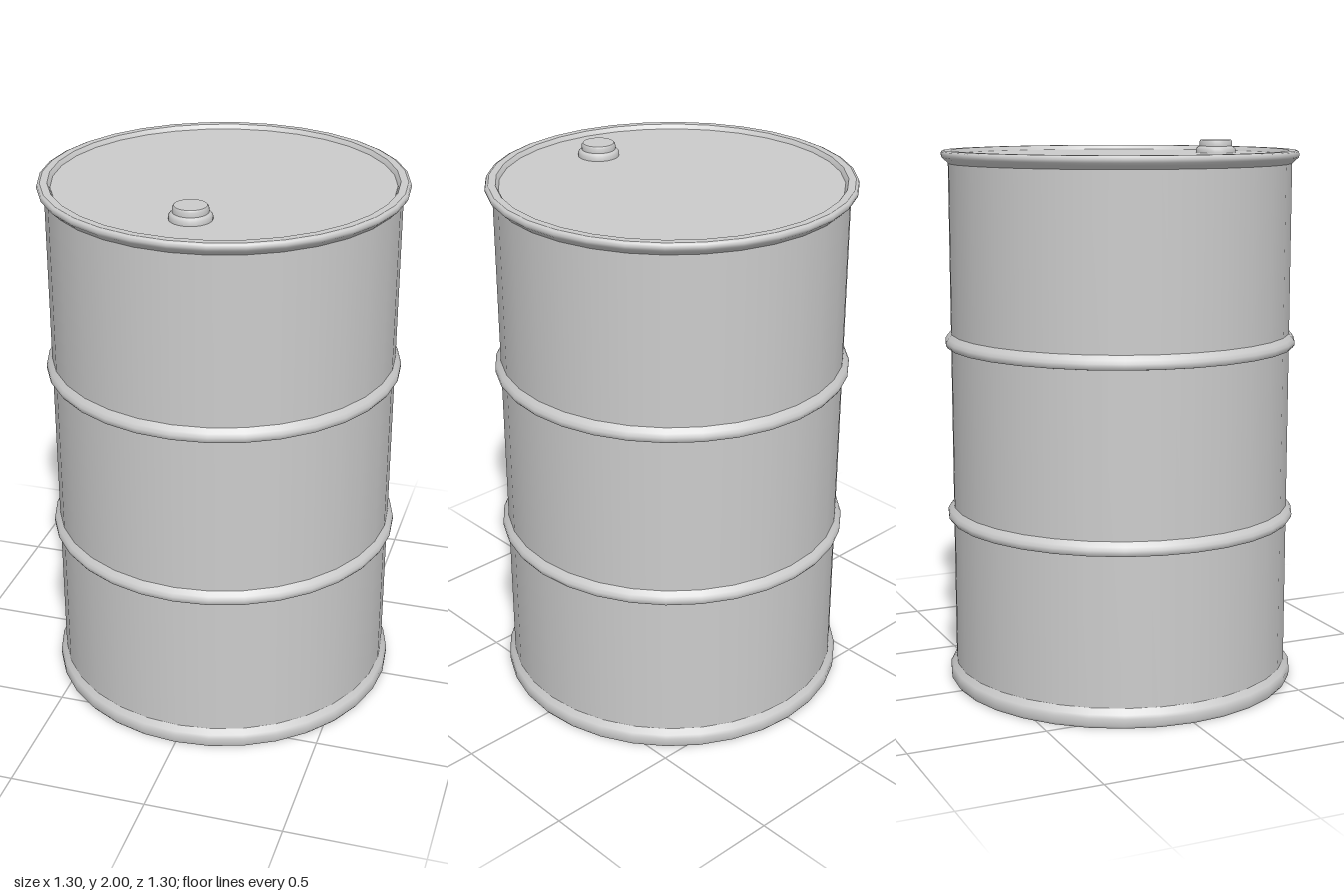
import * as THREE from 'three';

const SIDES = 32;

export function createModel() {
  const group = new THREE.Group();
  const material = new THREE.MeshStandardMaterial({ color: 0xcccccc });

  // Each profile is [radius, y] pairs; separate profiles keep hard edges between them
  const lathe = (name, profile, parent = group, sides = SIDES) => {
    const points = profile.map(([r, y]) => new THREE.Vector2(r, y));
    const mesh = new THREE.Mesh(new THREE.LatheGeometry(points, sides), material);
    mesh.name = name;
    parent.add(mesh);
    return mesh;
  };

  // Straight wall of the drum
  lathe('wall', [[0.624, 0.03], [0.624, 1.95]]);

  // Two rolling hoops: crisp underside, rounded upper shoulder
  for (const [name, y] of [['lowerHoop', 0.615], ['upperHoop', 1.257]]) {
    const hoop = new THREE.Group();
    hoop.name = name;
    hoop.position.y = y;
    lathe(name + 'Underside', [[0.622, 0], [0.639, 0.003]], hoop);
    lathe(name + 'Band', [[0.639, 0.003], [0.645, 0.012], [0.645, 0.024], [0.638, 0.036], [0.624, 0.052]], hoop);
    group.add(hoop);
  }

  // Bottom chime and base
  lathe('bottomChime', [[0.638, 0.002], [0.645, 0.012], [0.646, 0.038], [0.638, 0.05], [0.624, 0.07]]);
  lathe('base', [[0, 0.002], [0.638, 0.002]]);

  // Top chime with a flat lip and a short drop to the lid
  lathe('topChime', [[0.624, 1.922], [0.636, 1.934], [0.647, 1.944], [0.65, 1.954], [0.647, 1.964], [0.638, 1.968]]);
  lathe('topLip', [[0.638, 1.968], [0.612, 1.968]]);
  lathe('innerLip', [[0.612, 1.968], [0.606, 1.96], [0.602, 1.952]]);
  lathe('lid', [[0.602, 1.952], [0, 1.952]]);

  // Filler cap near the front of the lid
  const cap = new THREE.Group();
  cap.name = 'fillerCap';
  cap.position.set(0, 1.952, 0.39);
  lathe('capFlange', [[0.074, 0], [0.074, 0.014], [0.068, 0.021], [0.061, 0.025]], cap, 24);
  lathe('capSide', [[0.061, 0.025], [0.061, 0.041], [0.056, 0.048]], cap, 24);
  lathe('capTop', [[0.056, 0.048], [0, 0.048]], cap, 24);
  group.add(cap);

  return group;
}
